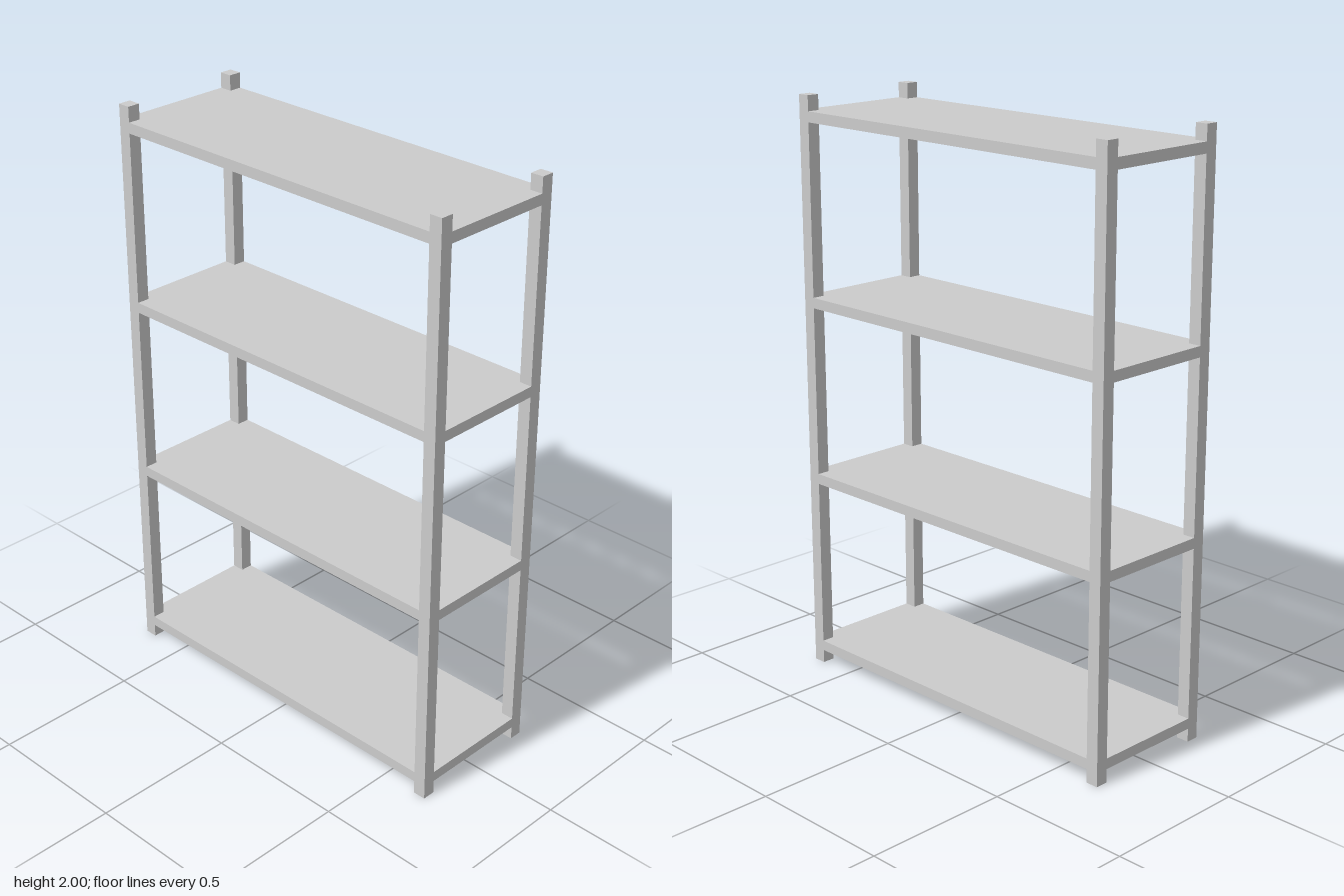
import * as THREE from 'three';

const W = 1.35, D = 0.48, H = 2;   // overall size
const POST = 0.044;                // square post width
const THICK = 0.036;               // shelf thickness
const FIRST = 0.046, STEP = 0.622; // underside of lowest shelf, shelf spacing

// Board outline with square notches where the posts pass through
function shelfGeometry() {
  const x = W / 2, z = D / 2, p = POST;
  const outline = [
    [-x + p, -z], [x - p, -z], [x - p, -z + p], [x, -z + p],
    [x, z - p], [x - p, z - p], [x - p, z], [-x + p, z],
    [-x + p, z - p], [-x, z - p], [-x, -z + p], [-x + p, -z + p],
  ].map(([a, b]) => new THREE.Vector2(a, b));
  const geo = new THREE.ExtrudeGeometry(new THREE.Shape(outline), { depth: THICK, bevelEnabled: false });
  return geo.rotateX(-Math.PI / 2); // lay flat, underside at y = 0
}

export function createModel() {
  const model = new THREE.Group();
  model.name = 'shelvingUnit';
  const material = new THREE.MeshStandardMaterial({ color: 0xcccccc });

  // Four corner posts
  const postGeo = new THREE.BoxGeometry(POST, H, POST);
  for (const sx of [-1, 1]) {
    for (const sz of [-1, 1]) {
      const post = new THREE.Mesh(postGeo, material);
      post.name = (sz > 0 ? 'front' : 'back') + (sx > 0 ? 'Left' : 'Right') + 'Post';
      post.position.set(sx * (W - POST) / 2, H / 2, sz * (D - POST) / 2);
      model.add(post);
    }
  }

  // Four evenly spaced shelves, flush with the outside of the posts
  const boardGeo = shelfGeometry();
  for (let i = 0; i < 4; i++) {
    const shelf = new THREE.Mesh(boardGeo, material);
    shelf.name = 'shelf' + (i + 1);
    shelf.position.y = FIRST + i * STEP;
    model.add(shelf);
  }
  return model;
}
